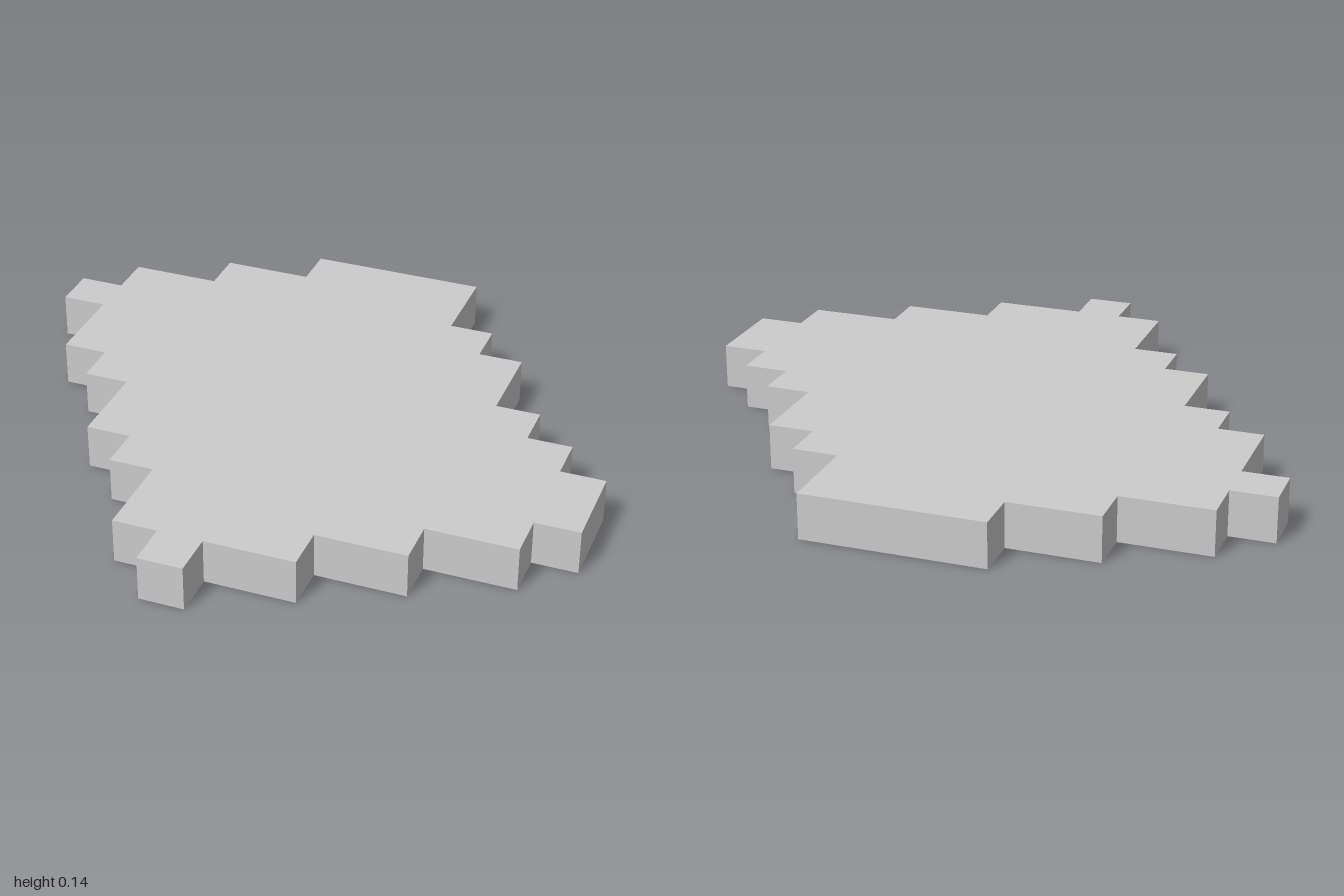
import * as THREE from 'three';

const UNIT = 1 / 7; // side of one grid cell, also the slab thickness

// Left and right limits of each one-cell row, from back (-z) to front (+z)
const ROWS = [
  [-2, 2], [-4, 2], [-6, 3], [-7, 4], [-6, 4], [-6, 5], [-5, 6],
  [-4, 7], [-4, 7], [-3, 6], [-2, 4], [-2, 2], [-1, 0],
];

// Stepped edge down one side, with a corner pair wherever the limit changes
function steppedEdge(side) {
  const points = [];
  ROWS.forEach((row, i) => {
    const x = row[side] * UNIT;
    const back = (ROWS.length / 2 - i) * UNIT;
    if (i === 0 || row[side] !== ROWS[i - 1][side]) points.push(new THREE.Vector2(x, back));
    if (i === ROWS.length - 1 || row[side] !== ROWS[i + 1][side]) {
      points.push(new THREE.Vector2(x, back - UNIT));
    }
  });
  return points;
}

export function createModel() {
  const group = new THREE.Group();
  group.name = 'steppedSlab';

  // Outline: down the left edge, back up the right edge
  const outline = new THREE.Shape([...steppedEdge(0), ...steppedEdge(1).reverse()]);
  const geometry = new THREE.ExtrudeGeometry(outline, { depth: UNIT, bevelEnabled: false });
  geometry.rotateX(-Math.PI / 2); // lay flat, standing on y = 0

  const slab = new THREE.Mesh(
    geometry,
    new THREE.MeshStandardMaterial({ color: 0xcccccc, flatShading: true }),
  );
  slab.name = 'slab';
  group.add(slab);
  return group;
}
